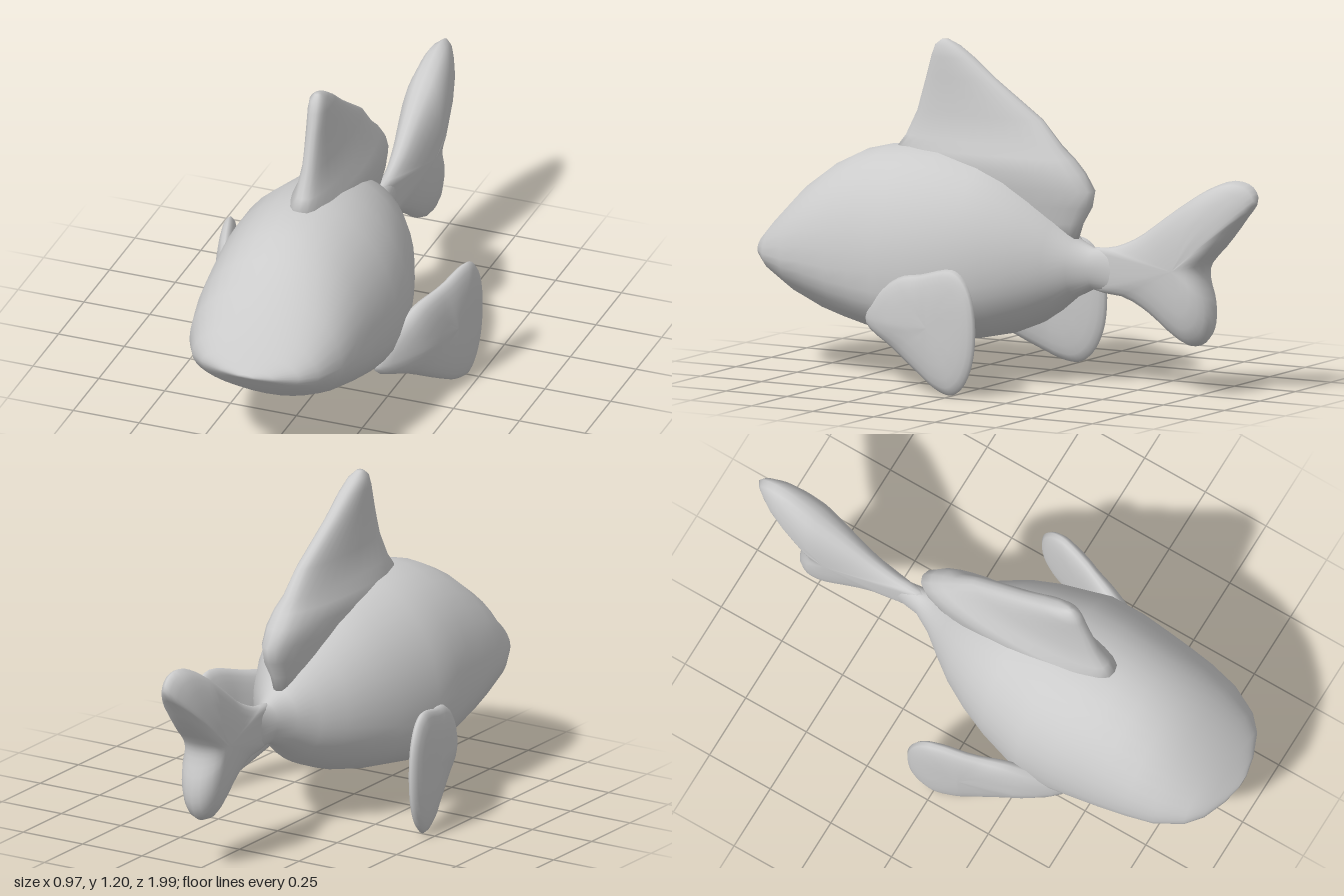
import * as THREE from 'three';

const material = new THREE.MeshStandardMaterial({ color: 0xcccccc, side: THREE.DoubleSide });

// Skin a list of equal-length rings of Vector3, closing both ends with a fan.
function loft(name, rings) {
  const n = rings[0].length;
  const points = rings.flat();
  const index = [];
  for (let r = 0; r < rings.length - 1; r++) {
    for (let i = 0; i < n; i++) {
      const a = r * n + i, b = r * n + (i + 1) % n;
      index.push(a, b, b + n, a, b + n, a + n);
    }
  }
  [[rings[0], 0, true], [rings.at(-1), (rings.length - 1) * n, false]].forEach(([ring, start, first]) => {
    const centre = points.length;
    points.push(ring.reduce((sum, p) => sum.add(p), new THREE.Vector3()).divideScalar(n));
    for (let i = 0; i < n; i++) {
      const a = start + i, b = start + (i + 1) % n;
      index.push(centre, first ? b : a, first ? a : b);
    }
  });
  // Turn the faces outward whichever way the rings run
  let volume = 0;
  const cross = new THREE.Vector3();
  for (let i = 0; i < index.length; i += 3) {
    const [a, b, c] = [points[index[i]], points[index[i + 1]], points[index[i + 2]]];
    volume += a.dot(cross.crossVectors(b, c));
  }
  if (volume < 0) index.reverse();
  const geometry = new THREE.BufferGeometry().setFromPoints(points);
  geometry.setIndex(index);
  geometry.computeVertexNormals();
  const mesh = new THREE.Mesh(geometry, material);
  mesh.name = name;
  return mesh;
}

// Cushion-shaped fin: a [z, y] outline swelling toward a centre.
// bend(z) gives the middle surface's x, thickness(z) its half thickness.
function cushion(name, outline, [cz, cy], bend, thickness) {
  const curve = new THREE.CatmullRomCurve3(outline.map(([z, y]) => new THREE.Vector3(0, y, z)), true, 'centripetal');
  const edge = curve.getPoints(56).slice(0, -1);
  const levels = [0.04, 0.3, 0.55, 0.75, 0.88, 0.96];
  const ring = (s, side) => edge.map((p) => {
    const z = cz + (p.z - cz) * s, y = cy + (p.y - cy) * s;
    return new THREE.Vector3(bend(z) + side * thickness(z) * Math.sqrt(1 - s ** 3), y, z);
  });
  return loft(name, [
    ...levels.map((s) => ring(s, 1)),
    ring(1, 0),
    ...levels.toReversed().map((s) => ring(s, -1)),
  ]);
}

// Piecewise linear lookup in [[z, value], ...] with z rising
function lookup(table, z) {
  for (let i = 1; i < table.length; i++) {
    const [z0, v0] = table[i - 1], [z1, v1] = table[i];
    if (z <= z1) return THREE.MathUtils.mapLinear(Math.max(z, z0), z0, z1, v0, v1);
  }
  return table.at(-1)[1];
}

function createBody() {
  // z, half width, bottom, widest height, top
  const sections = [
    [1.0, 0.03, 0.413, 0.42, 0.427], [0.985, 0.1, 0.4, 0.42, 0.445],
    [0.95, 0.185, 0.36, 0.42, 0.49], [0.9, 0.24, 0.315, 0.415, 0.55],
    [0.8, 0.29, 0.25, 0.41, 0.66], [0.7, 0.312, 0.205, 0.41, 0.735],
    [0.6, 0.325, 0.18, 0.4, 0.785], [0.5, 0.335, 0.16, 0.4, 0.81],
    [0.4, 0.345, 0.145, 0.4, 0.82], [0.27, 0.345, 0.135, 0.4, 0.82],
    [0.1, 0.295, 0.15, 0.41, 0.785], [0, 0.255, 0.17, 0.42, 0.74],
    [-0.1, 0.2, 0.21, 0.42, 0.67], [-0.18, 0.14, 0.26, 0.42, 0.6],
    [-0.25, 0.085, 0.315, 0.43, 0.53], [-0.32, 0.045, 0.35, 0.43, 0.498],
    [-0.4, 0.03, 0.345, 0.43, 0.505], [-0.5, 0.03, 0.36, 0.44, 0.5],
    [-0.57, 0.01, 0.4, 0.44, 0.47],
  ];
  const rings = sections.map(([z, w, bottom, mid, top]) => {
    // The belly is squarer than the back around the side fins
    const power = 2 / (2 + 0.8 * Math.exp(-(((z - 0.3) / 0.3) ** 2)));
    return Array.from({ length: 36 }, (_, i) => {
      const a = (i / 36) * Math.PI * 2, c = Math.cos(a), s = Math.sin(a);
      if (s >= 0) return new THREE.Vector3(w * c, mid + (top - mid) * s, z);
      return new THREE.Vector3(
        w * Math.sign(c) * Math.abs(c) ** power,
        mid - (mid - bottom) * Math.abs(s) ** power, z);
    });
  });
  return loft('body', rings);
}

function createDorsalFin() {
  // y, front z, back z, half width
  const sections = [
    [0.5, 0.3, -0.25, 0.05], [0.58, 0.35, -0.275, 0.065],
    [0.64, 0.4, -0.31, 0.08], [0.7, 0.42, -0.32, 0.09],
    [0.76, 0.44, -0.28, 0.1], [0.81, 0.475, -0.235, 0.092],
    [0.85, 0.445, -0.19, 0.07], [0.94, 0.4, -0.11, 0.052],
    [1.07, 0.36, 0.08, 0.043], [1.14, 0.34, 0.17, 0.039],
    [1.18, 0.325, 0.23, 0.03], [1.2, 0.3, 0.275, 0.012],
  ];
  return loft('dorsalFin', sections.map(([y, front, back, w]) =>
    Array.from({ length: 28 }, (_, i) => {
      const a = (i / 28) * Math.PI * 2, s = Math.sin(a);
      const x = w * Math.sign(s) * Math.abs(s) ** 0.8;
      return new THREE.Vector3(x, y, (front + back) / 2 + ((front - back) / 2) * Math.cos(a));
    })));
}

function createTailFin() {
  const outline = [
    [-0.3, 0.49], [-0.4, 0.508], [-0.5, 0.55], [-0.6, 0.62], [-0.7, 0.69], [-0.8, 0.75],
    [-0.9, 0.785], [-0.97, 0.77], [-0.995, 0.725], [-0.95, 0.66], [-0.87, 0.56],
    [-0.79, 0.47], [-0.785, 0.42], [-0.81, 0.33], [-0.81, 0.25], [-0.78, 0.195],
    [-0.72, 0.178], [-0.65, 0.21], [-0.55, 0.28], [-0.45, 0.33], [-0.3, 0.36],
  ];
  const thick = [[-1, 0.05], [-0.9, 0.075], [-0.75, 0.085], [-0.6, 0.062], [-0.4, 0.035]];
  return cushion('tailFin', outline, [-0.68, 0.45], () => 0, (z) => lookup(thick, z));
}

function createSideFin(side) {
  const outline = [
    [0.27, 0.395], [0.15, 0.422], [0, 0.455], [-0.05, 0.43], [-0.09, 0.36], [-0.105, 0.24],
    [-0.09, 0.12], [-0.05, 0.04], [0, 0.005], [0.06, 0.012], [0.15, 0.055],
    [0.3, 0.14], [0.45, 0.215], [0.42, 0.29],
  ];
  const middle = [[-0.1, 0.465], [0, 0.45], [0.1, 0.425], [0.2, 0.388], [0.3, 0.35], [0.45, 0.28]];
  const thick = [[-0.1, 0.035], [0, 0.036], [0.15, 0.038], [0.3, 0.055]];
  return cushion(side > 0 ? 'leftFin' : 'rightFin', outline, [0.1, 0.24],
    (z) => side * lookup(middle, z), (z) => lookup(thick, z));
}

export function createModel() {
  const fish = new THREE.Group();
  fish.name = 'fish';
  fish.add(createBody(), createDorsalFin(), createTailFin(), createSideFin(1), createSideFin(-1));
  return fish;
}
